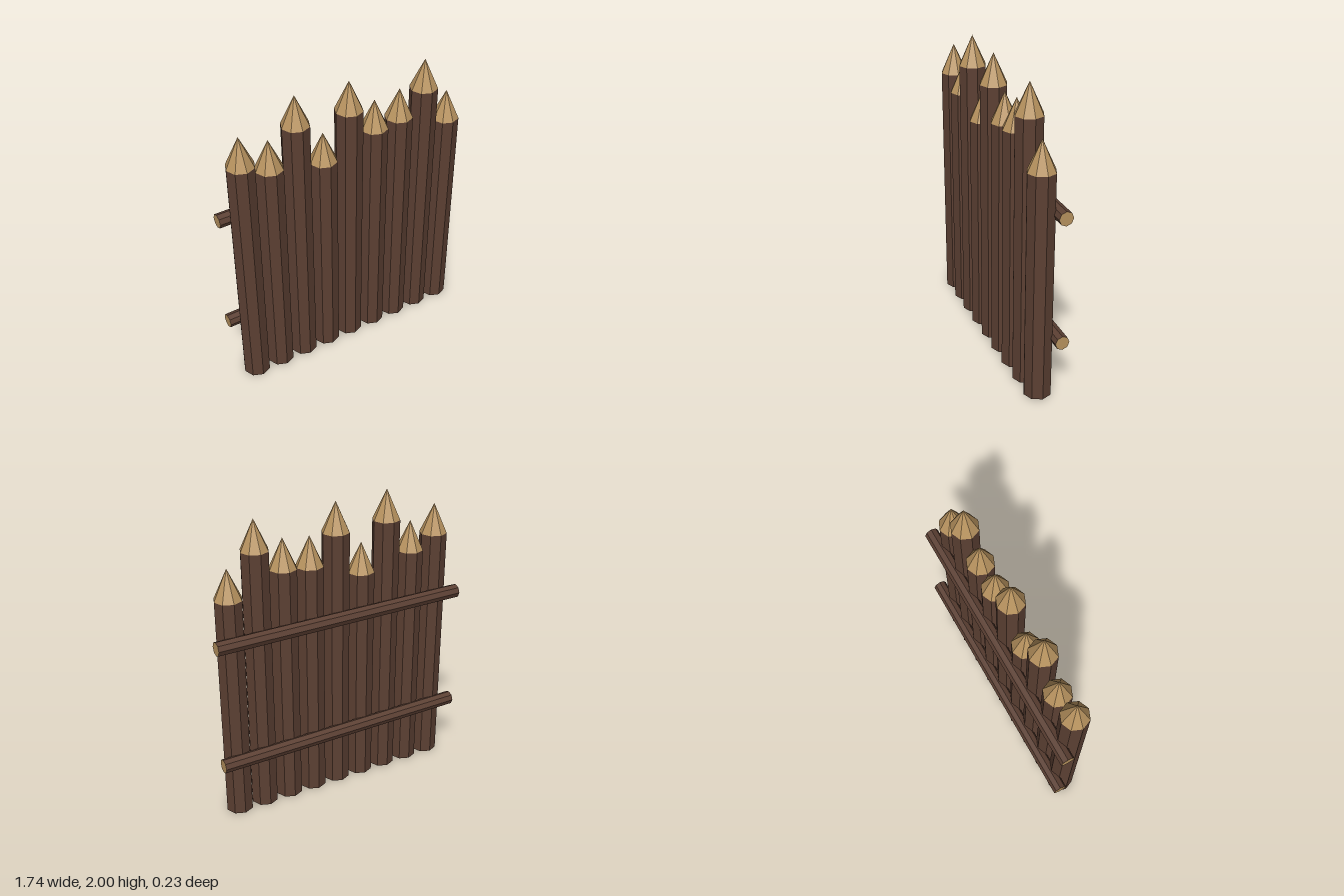
import * as THREE from 'three';

export function createModel() {
  const bark = new THREE.MeshStandardMaterial({ color: 0x5c4033, flatShading: true });
  bark.name = 'dark bark';
  const cutWood = new THREE.MeshStandardMaterial({ color: 0xb8935f, flatShading: true });
  cutWood.name = 'cut wood';

  const group = new THREE.Group();
  group.name = 'palisade';

  const add = (parent, name, geometry, material, x, y, z) => {
    const mesh = new THREE.Mesh(geometry, material);
    mesh.name = name;
    mesh.position.set(x, y, z);
    parent.add(mesh);
    return mesh;
  };

  // Sharpened posts: eight-sided logs with pale cut points
  const radius = 0.09, tipHeight = 0.196, spacing = 0.1835, postZ = 0.027;
  const shoulders = [1.652, 1.568, 1.804, 1.49, 1.786, 1.6, 1.62, 1.77, 1.495];
  const tip = new THREE.ConeGeometry(radius, tipHeight, 8, 1, true);
  shoulders.forEach((height, i) => {
    const post = new THREE.Group();
    post.name = `post${i + 1}`;
    post.position.set((i - 4) * spacing, 0, postZ);
    add(post, 'log', new THREE.CylinderGeometry(radius, radius, height, 8), bark, 0, height / 2, 0);
    add(post, 'point', tip, cutWood, 0, height + tipHeight / 2, 0);
    group.add(post);
  });

  // Two round rails across the back, with pale sawn ends
  const rail = new THREE.CylinderGeometry(0.046, 0.046, 1.74, 8);
  [['lowerRail', 0.415], ['upperRail', 1.242]].forEach(([name, y]) => {
    add(group, name, rail, [bark, cutWood, cutWood], 0, y, -0.071).rotation.z = Math.PI / 2;
  });

  return group;
}
